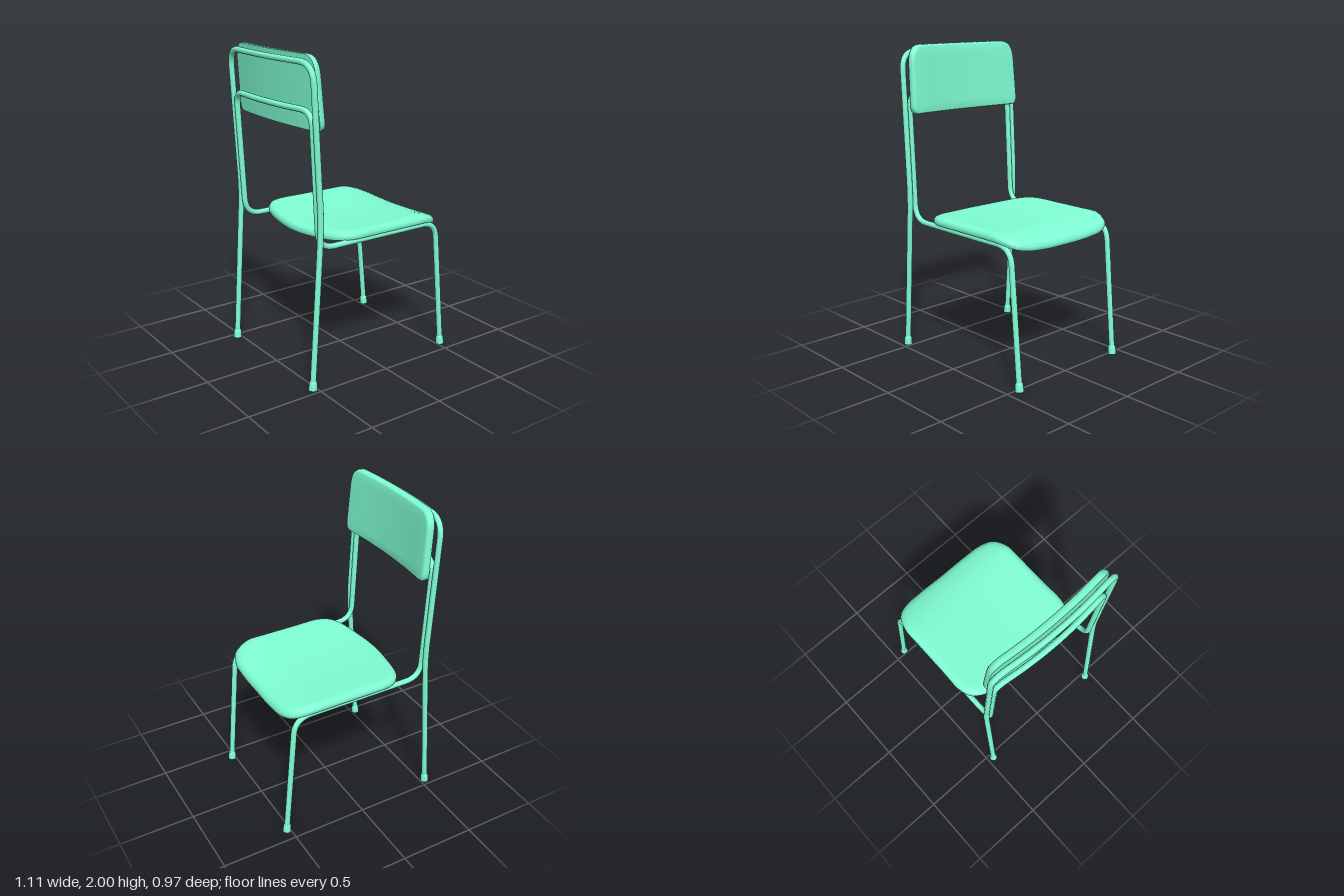
import * as THREE from 'three';
import { toCreasedNormals } from 'three/addons/utils/BufferGeometryUtils.js';

const V = (x, y, z) => new THREE.Vector3(x, y, z);
const R = 0.0185; // tube radius

// Cushion-like slab: outline rings swept over a profile of [scale, height], then bent by place(u, v, h)
function slab(outline, profile, place) {
  const n = outline.length, pos = [], index = [];
  for (const [s, h] of profile) {
    for (const p of outline) pos.push(...place(p.x * s, p.y * s, h));
  }
  for (let r = 0; r < profile.length - 1; r++) {
    for (let i = 0; i < n; i++) {
      const a = r * n + i, b = r * n + (i + 1) % n;
      if (r > 0) index.push(a, a + n, b);
      if (r < profile.length - 2) index.push(b, a + n, b + n);
    }
  }
  const g = new THREE.BufferGeometry();
  g.setAttribute('position', new THREE.Float32BufferAttribute(pos, 3));
  g.setIndex(index);
  return toCreasedNormals(g, 0.7);
}

const slabProfile = (t, edge) => [
  [0, t], [0.25, t], [0.5, t], [0.7, t], [1 - 3 * edge, t], [1 - 1.6 * edge, t * 0.96],
  [1 - 0.6 * edge, t * 0.82], [1, t * 0.5], [1, t * 0.15], [1 - 0.2 * edge, 0],
  [0.8, 0], [0.5, 0], [0.25, 0], [0, 0],
];

// Straight runs joined by bends; each point is [position, bend length]
function bentTube(points) {
  const path = new THREE.CurvePath();
  let last = points[0][0];
  for (let i = 1; i < points.length - 1; i++) {
    const [p, r] = points[i];
    const a = p.clone().add(points[i - 1][0].clone().sub(p).setLength(r));
    const b = p.clone().add(points[i + 1][0].clone().sub(p).setLength(r));
    path.add(new THREE.LineCurve3(last, a));
    path.add(new THREE.QuadraticBezierCurve3(a, p, b));
    last = b;
  }
  path.add(new THREE.LineCurve3(last, points[points.length - 1][0]));
  return new THREE.TubeGeometry(path, 260, R, 12);
}

// Half a frame on the +z side, a bowed middle point, and the mirrored half
function frame(half, middle) {
  const other = half.map(([p, r]) => [V(p.x, p.y, -p.z), r]).reverse();
  return bentTube([...half, middle, ...other]);
}

export function createModel() {
  const group = new THREE.Group();
  const material = new THREE.MeshStandardMaterial({ color: 0x7fffd4 });
  const add = (name, geometry) => {
    const mesh = new THREE.Mesh(geometry, material);
    mesh.name = name;
    group.add(mesh);
    return mesh;
  };

  // Rear legs rising into the upper back bar
  add('rearFrame', frame([
    [V(-0.53, 0.01, 0.458), 0],
    [V(-0.462, 1.03, 0.458), 0.12],
    [V(-0.51, 1.96, 0.458), 0.12],
  ], [V(-0.555, 1.96, 0), 0.31]));

  // Front legs, seat rails and lower back bar in one bent tube
  add('seatFrame', frame([
    [V(0.525, 0.01, 0.421), 0],
    [V(0.448, 0.872, 0.421), 0.11],
    [V(-0.455, 0.872, 0.421), 0.11],
    [V(-0.463, 1.04, 0.421), 0.05],
    [V(-0.496, 1.69, 0.421), 0.09],
  ], [V(-0.545, 1.69, 0), 0.3]));

  // Foot caps
  const cap = [[0, 0], [0.027, 0], [0.027, 0.006], [0.0245, 0.042], [0.022, 0.052], [0.017, 0.06]];
  const capGeometry = toCreasedNormals(
    new THREE.LatheGeometry(cap.map(([x, y]) => new THREE.Vector2(x, y)), 16), 0.7);
  for (const side of [1, -1]) {
    for (const [name, x, z, tilt] of [['rearFoot', -0.53, 0.458, -0.066], ['frontFoot', 0.525, 0.421, 0.089]]) {
      const foot = add(name, capGeometry);
      foot.position.set(x, 0.002, side * z);
      foot.rotation.z = tilt;
    }
  }

  // Seat: dished across, with a drooping front lip
  const halfSeat = [[0.5, 0.2], [0.488, 0.33], [0.45, 0.405], [0.35, 0.449], [0.22, 0.452], [0, 0.452],
    [-0.2, 0.45], [-0.27, 0.42], [-0.315, 0.36], [-0.35, 0.23]];
  const seatPoints = [[0.5, 0], ...halfSeat, [-0.376, 0],
    ...halfSeat.map(([x, z]) => [x, -z]).reverse()].map(([x, z]) => V(x, z, 0));
  const seatOutline = new THREE.CatmullRomCurve3(seatPoints, true).getSpacedPoints(112).slice(0, -1);
  add('seat', slab(seatOutline, slabProfile(0.053, 0.04), (u, v, h) => {
    const dish = 0.025 * (1 - (v / 0.45) ** 2);
    const lip = Math.max(0, (u - 0.33) / 0.17);
    return [u, 0.89 + h - dish - 0.04 * lip ** 1.4, -v];
  }));

  // Backrest: bowed across and leaning back, with larger upper corners
  const s = new THREE.Shape();
  s.moveTo(-0.4, -0.217);
  s.lineTo(0.4, -0.217);
  s.quadraticCurveTo(0.443, -0.217, 0.445, -0.17);
  s.lineTo(0.436, 0.1);
  s.quadraticCurveTo(0.43, 0.217, 0.34, 0.217);
  s.lineTo(-0.34, 0.217);
  s.quadraticCurveTo(-0.43, 0.217, -0.436, 0.1);
  s.lineTo(-0.445, -0.17);
  s.quadraticCurveTo(-0.443, -0.217, -0.4, -0.217);
  add('backrest', slab(s.getSpacedPoints(128).slice(0, -1), slabProfile(0.046, 0.02), (u, v, h) => [
    -0.496 + h - 0.07 * v + 0.028 * (u / 0.44) ** 2, 1.783 + v, -u,
  ]));

  return group;
}
